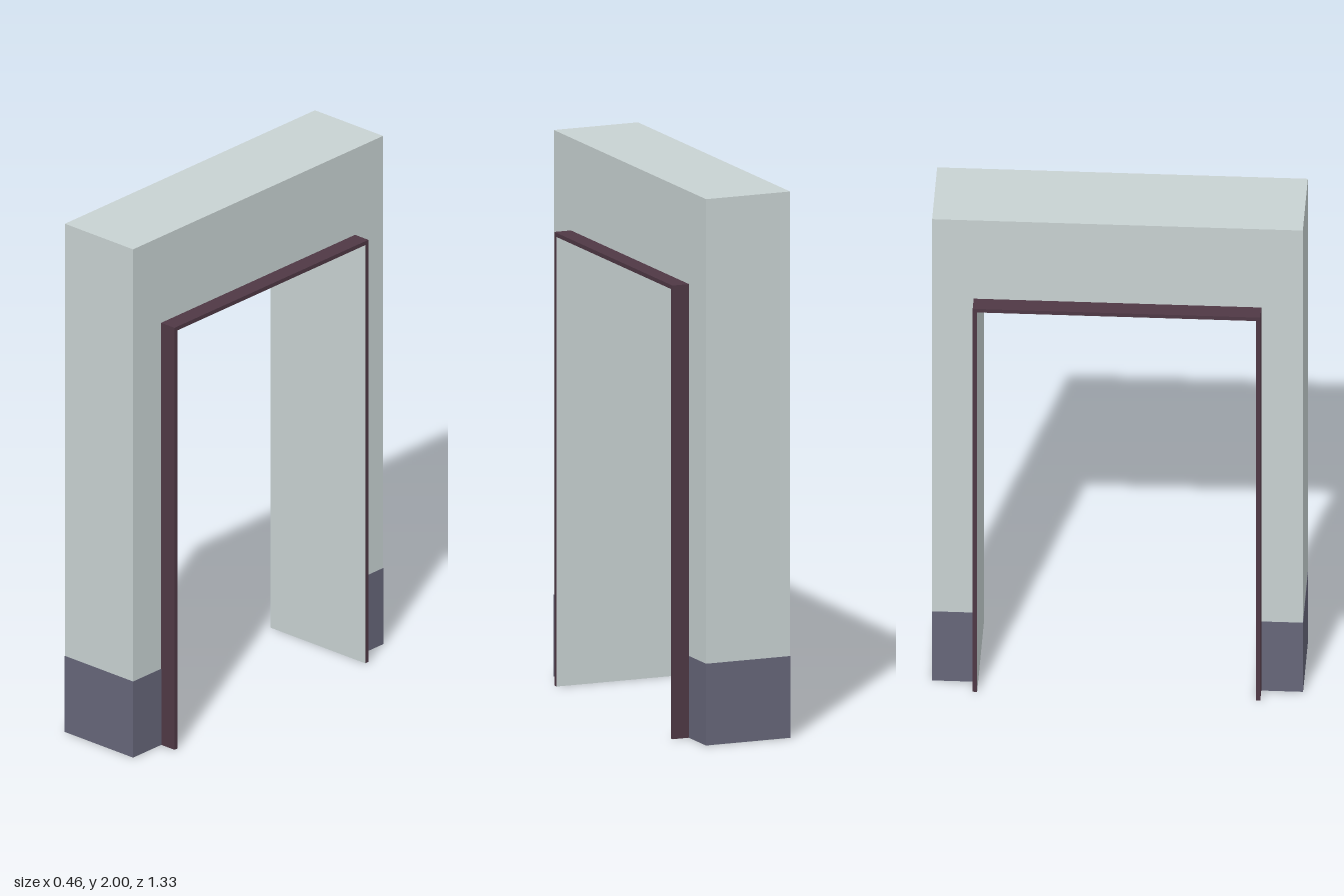
import * as THREE from 'three';

const plaster = new THREE.MeshStandardMaterial({ color: 0xc8d2d2 });
const plinthPaint = new THREE.MeshStandardMaterial({ color: 0x666679 });
const trimPaint = new THREE.MeshStandardMaterial({ color: 0x4f3845 });

// Upside-down U in the z-y plane, extruded along x from x0 to x1
function archway(name, material, outer, top, inner, soffit, bottom, x0, x1) {
  const shape = new THREE.Shape([
    [-outer, bottom], [-inner, bottom], [-inner, soffit], [inner, soffit],
    [inner, bottom], [outer, bottom], [outer, top], [-outer, top],
  ].map(([z, y]) => new THREE.Vector2(z, y)));
  const geometry = new THREE.ExtrudeGeometry(shape, { depth: x1 - x0, bevelEnabled: false });
  geometry.rotateY(Math.PI / 2).translate(x0, 0, 0);
  const mesh = new THREE.Mesh(geometry, material);
  mesh.name = name;
  return mesh;
}

export function createModel() {
  const model = new THREE.Group();
  model.name = 'doorway';
  const eps = 0.001; // painted skins stand just proud of the plaster

  // Wall around the opening
  model.add(archway('wall', plaster, 0.665, 2, 0.514, 1.659, 0, -0.165, 0.165));

  // Pale lining inside the opening
  model.add(archway('lining', plaster, 0.514, 1.659, 0.5, 1.645, 0, -0.23 + eps, 0.23 - eps));

  for (const side of [-1, 1]) {
    // Dark frame projecting from each face of the wall
    const [x0, x1] = side > 0 ? [0.16, 0.23] : [-0.23, -0.16];
    model.add(archway(side > 0 ? 'leftFrame' : 'rightFrame', trimPaint,
      0.516, 1.661, 0.5 + eps, 1.645 + eps, eps, x0, x1));

    // Painted plinth at the foot of each leg
    const plinth = new THREE.Mesh(new THREE.BoxGeometry(0.33 + 2 * eps, 0.3 - eps, 0.15), plinthPaint);
    plinth.name = side > 0 ? 'frontPlinth' : 'backPlinth';
    plinth.position.set(0, 0.15 + eps / 2, side * (0.591));
    model.add(plinth);
  }
  return model;
}
